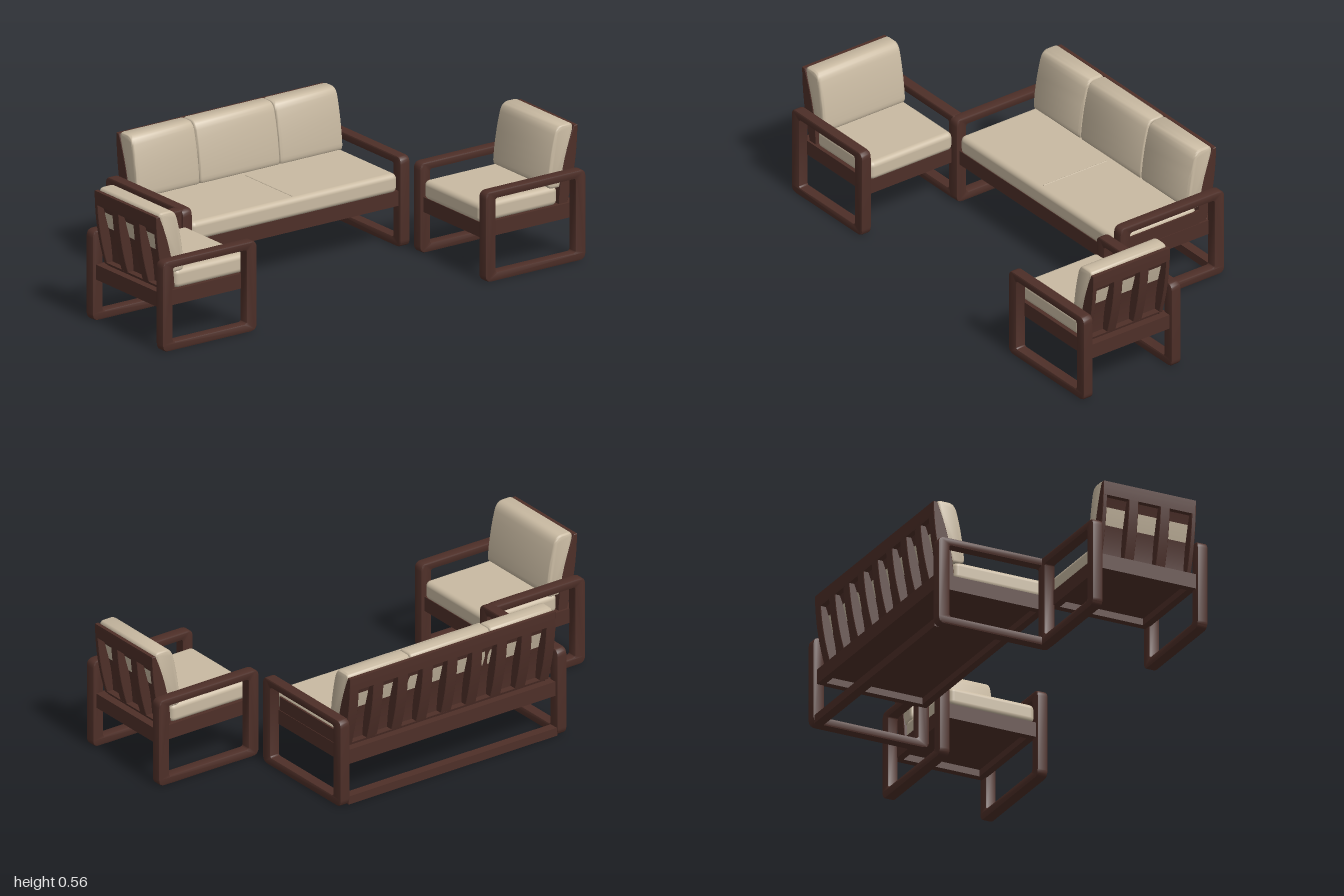
import * as THREE from 'three';
import { toCreasedNormals } from 'three/addons/utils/BufferGeometryUtils.js';
import { RoundedBoxGeometry } from 'three/addons/geometries/RoundedBoxGeometry.js';

const wood = new THREE.MeshStandardMaterial({ color: 0x4e2f28 });
wood.name = 'dark wood';
const fabric = new THREE.MeshStandardMaterial({ color: 0xc9baa2 });
fabric.name = 'beige fabric';

const ARM = 0.046, TOP = 0.375, BACK_TOP = 0.546, BACK_LOW = 0.2;

function add(parent, name, geometry, material, x = 0, y = 0, z = 0) {
  const mesh = new THREE.Mesh(geometry, material);
  mesh.name = name;
  mesh.position.set(x, y, z);
  parent.add(mesh);
  return mesh;
}

// Traces a rounded rectangle into a Shape or Path
function roundRect(path, x0, y0, x1, y1, r) {
  path.moveTo(x0 + r, y0);
  path.lineTo(x1 - r, y0);
  path.quadraticCurveTo(x1, y0, x1, y0 + r);
  path.lineTo(x1, y1 - r);
  path.quadraticCurveTo(x1, y1, x1 - r, y1);
  path.lineTo(x0 + r, y1);
  path.quadraticCurveTo(x0, y1, x0, y1 - r);
  path.lineTo(x0, y0 + r);
  path.quadraticCurveTo(x0, y0, x0 + r, y0);
  return path;
}

// Extrudes a side profile drawn as (z, y) along x, centred, with a rounded edge
function extrudeSide(shape, width, bevel, segments, crease) {
  const g = new THREE.ExtrudeGeometry(shape, {
    depth: width - 2 * bevel, bevelEnabled: true, bevelThickness: bevel,
    bevelSize: bevel, bevelOffset: -bevel, bevelSegments: segments, curveSegments: 5,
  });
  g.translate(0, 0, bevel - width / 2);
  return toCreasedNormals(g, crease).rotateY(-Math.PI / 2);
}

// Closed loop of armrest, two legs and floor runner
function sideFrame(depth) {
  const h = depth / 2;
  const s = roundRect(new THREE.Shape(), -h, 0, h, TOP, 0.03);
  s.holes.push(roundRect(new THREE.Path(), -h + 0.05, 0.036, h - 0.05, TOP - 0.033, 0.01));
  return extrudeSide(s, ARM, 0.006, 2, 0.6);
}

// Curved rear and front faces of the backrest, as distance from the rear
const dropAt = (y) => (BACK_TOP - y) / (BACK_TOP - BACK_LOW);
const rearFace = (y) => 0.004 + 0.06 * dropAt(y) ** 2;
const frontFace = (y) => 0.02 + 0.075 * (1 - (1 - dropAt(y)) ** 2);

// Piece of the backrest between two heights; thickness 0 fills both faces
function backPiece(y0, y1, width, thickness = 0) {
  const steps = 7, points = [];
  const heightAt = (i) => y0 + ((y1 - y0) * i) / steps;
  for (let i = 0; i <= steps; i++) points.push(new THREE.Vector2(frontFace(heightAt(i)), heightAt(i)));
  for (let i = steps; i >= 0; i--) {
    const y = heightAt(i);
    points.push(new THREE.Vector2(thickness ? frontFace(y) - thickness : rearFace(y), y));
  }
  return extrudeSide(new THREE.Shape(points), width, 0.002, 1, 0.6);
}

// Top and bottom rails, slats and the thin panel behind them
function backrest(width, slots, slat, stile) {
  const g = new THREE.Group();
  g.name = 'backrest';
  add(g, 'topRail', backPiece(0.488, BACK_TOP, width), wood);
  add(g, 'bottomRail', backPiece(BACK_LOW, 0.24, width), wood);
  add(g, 'backPanel', backPiece(0.22, 0.5, width - 0.01, 0.014), wood);
  const gap = (width - 2 * stile - (slots - 1) * slat) / slots;
  for (let i = 0; i <= slots; i++) {
    const end = i === 0 || i === slots;
    const x = end ? (i ? 1 : -1) * (width - stile) / 2
      : -width / 2 + stile + i * (gap + slat) - slat / 2;
    add(g, 'slat', backPiece(0.23, 0.5, end ? stile : slat), wood, x);
  }
  return g;
}

// Leaning back cushion, profile drawn as (distance from rear, height)
function backCushion(width) {
  const s = new THREE.Shape();
  s.moveTo(0.088, 0.3);
  s.lineTo(0.125, 0.3);
  s.quadraticCurveTo(0.148, 0.302, 0.144, 0.335);
  s.bezierCurveTo(0.138, 0.4, 0.128, 0.46, 0.112, 0.52);
  s.quadraticCurveTo(0.102, 0.556, 0.075, 0.557);
  s.lineTo(0.04, 0.557);
  s.quadraticCurveTo(0.018, 0.555, 0.023, 0.53);
  s.quadraticCurveTo(0.05, 0.4, 0.088, 0.3);
  return extrudeSide(s, width, 0.012, 4, 0.9);
}

// One seat facing +z; backs lists [centre x, width] of each back cushion
function seatUnit(name, o) {
  const g = new THREE.Group();
  g.name = name;
  const { width, depth, backs, slots, slat, stile } = o;
  const rear = -depth / 2, inner = width - 2 * ARM;

  for (const side of [-1, 1]) {
    add(g, side > 0 ? 'leftArmFrame' : 'rightArmFrame', sideFrame(depth), wood,
      side * (width - ARM) / 2);
    add(g, 'sideRail', new THREE.BoxGeometry(0.03, 0.062, depth - 0.03), wood,
      side * (inner / 2 - 0.01), 0.203, 0);
    add(g, side > 0 ? 'frontRail' : 'rearRail', new THREE.BoxGeometry(inner, 0.062, 0.03), wood,
      0, 0.203, side * (depth / 2 - 0.03));
  }
  add(g, 'seatPanel', new THREE.BoxGeometry(inner, 0.03, depth - 0.05), wood, 0, 0.215, 0);

  const back = backrest(inner - 0.008, slots, slat, stile);
  back.position.z = rear;
  g.add(back);

  // Cushions
  const seatDepth = depth - 0.108;
  add(g, 'seatCushion', new RoundedBoxGeometry(inner - 0.01, 0.08, seatDepth, 5, 0.022), fabric,
    0, 0.269, depth / 2 - 0.01 - seatDepth / 2);
  for (const [x, w] of backs) add(g, 'backCushion', backCushion(w), fabric, x, 0, rear);
  return g;
}

export function createModel() {
  const model = new THREE.Group();
  model.name = 'loungeSet';

  // Three-seat sofa
  const sofa = seatUnit('sofa', {
    width: 1.105, depth: 0.514, slots: 8, slat: 0.05, stile: 0.045,
    backs: [[-0.348, 0.305], [0, 0.39], [0.348, 0.305]],
  });
  sofa.position.set(-0.0175, 0, -0.267);
  add(sofa, 'rearFloorBar', new THREE.BoxGeometry(1.02, 0.035, 0.04), wood, 0, 0.0185, -0.232);
  add(sofa, 'sideBoard', new THREE.BoxGeometry(0.012, 0.058, 0.37), wood, 0.503, 0.262, 0.02);
  // Raised seam between the seats
  const seam = new THREE.CylinderGeometry(0.003, 0.003, 0.31, 8).rotateX(Math.PI / 2);
  add(sofa, 'seatSeam', seam, fabric, 0.006, 0.3085, 0.065);
  model.add(sofa);

  // Two armchairs facing each other
  const chairs = [
    ['rightArmchair', 0.51, 0.458, -0.771, 0.188, 1],
    ['leftArmchair', 0.479, 0.488, 0.754, 0.285, -1],
  ];
  for (const [name, width, depth, x, z, turn] of chairs) {
    const chair = seatUnit(name, {
      width, depth, slots: 3, slat: 0.042, stile: 0.018,
      backs: [[0, width - 2 * ARM - 0.014]],
    });
    chair.position.set(x, 0, z);
    chair.rotation.y = turn * Math.PI / 2;
    model.add(chair);
  }
  return model;
}
